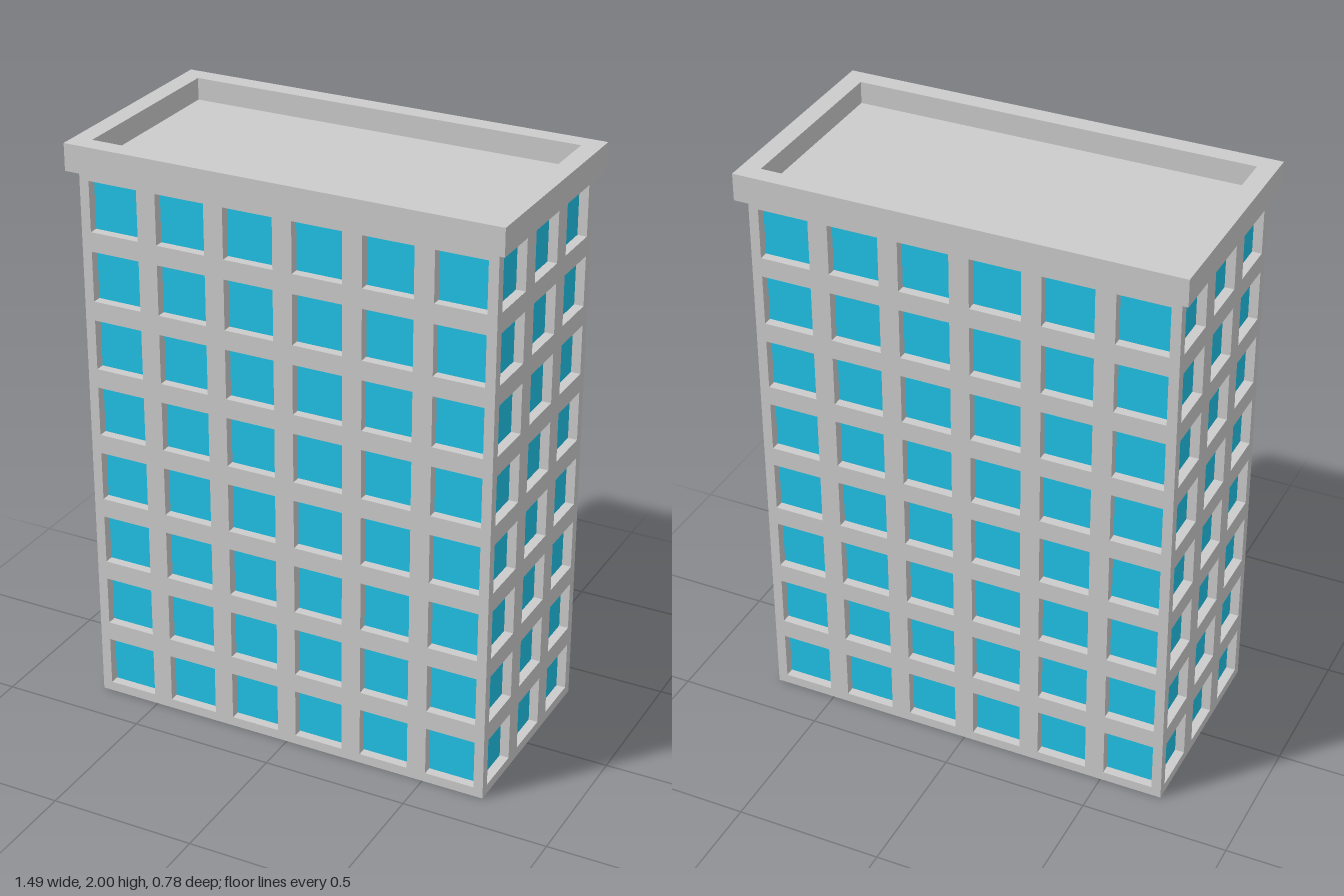
import * as THREE from 'three';

const CELL = 0.2385, WIN = 0.172, DEPTH = 0.032;
const FLOORS = 8, COLS = 6, SIDE_COLS = 3;
const W = CELL * COLS, D = CELL * SIDE_COLS, H = CELL * FLOORS;

const wall = new THREE.MeshStandardMaterial({ color: 0xcccccc });
const glass = new THREE.MeshStandardMaterial({ color: 0x20c3e8 });

function rect(Type, cx, cy, w, h) {
  const x = w / 2, y = h / 2;
  return new Type([[-x, -y], [x, -y], [x, y], [-x, y]].map(([a, b]) => new THREE.Vector2(cx + a, cy + b)));
}

function extrude(shape, depth, name) {
  const mesh = new THREE.Mesh(new THREE.ExtrudeGeometry(shape, { depth, bevelEnabled: false }), wall);
  mesh.name = name;
  return mesh;
}

// One wall with window openings and recessed panes, outer face at z = 0
function facade(name, cols, width) {
  const group = new THREE.Group();
  group.name = name;
  const shape = rect(THREE.Shape, 0, H / 2, width, H);
  const pane = new THREE.PlaneGeometry(WIN, WIN);
  for (let r = 0; r < FLOORS; r++) {
    for (let c = 0; c < cols; c++) {
      const x = (c - (cols - 1) / 2) * CELL, y = (r + 0.5) * CELL;
      shape.holes.push(rect(THREE.Path, x, y, WIN, WIN));
      const win = new THREE.Mesh(pane, glass);
      win.name = 'windowPane';
      win.position.set(x, y, -DEPTH);
      group.add(win);
    }
  }
  const slab = extrude(shape, DEPTH, 'wall');
  slab.position.z = -DEPTH;
  group.add(slab);
  return group;
}

export function createModel() {
  const model = new THREE.Group();
  model.name = 'apartmentBlock';

  // Four facades; the long ones cover the corners
  const names = ['frontFacade', 'leftFacade', 'backFacade', 'rightFacade'];
  names.forEach((name, i) => {
    const long = i % 2 === 0, a = i * Math.PI / 2;
    const f = facade(name, long ? COLS : SIDE_COLS, long ? W : D - 2 * DEPTH);
    f.rotation.y = a;
    f.position.set(Math.sin(a) * W / 2, 0, Math.cos(a) * D / 2);
    model.add(f);
  });

  // Ground slab closing the underside
  const base = new THREE.Mesh(new THREE.BoxGeometry(W - 2 * DEPTH, 0.02, D - 2 * DEPTH), wall);
  base.name = 'groundSlab';
  base.position.y = 0.01;
  model.add(base);

  // Overhanging parapet frame with a sunken roof deck
  const innerW = 1.364, innerD = 0.652;
  const frame = rect(THREE.Shape, 0, 0, 1.492, 0.78);
  frame.holes.push(rect(THREE.Path, 0, 0, innerW, innerD));
  const parapet = extrude(frame, 2 - H, 'parapet');
  parapet.rotation.x = -Math.PI / 2;
  parapet.position.y = H;
  model.add(parapet);

  const roof = new THREE.Mesh(new THREE.BoxGeometry(innerW, 0.02, innerD), wall);
  roof.name = 'roofDeck';
  roof.position.y = 1.915;
  model.add(roof);

  return model;
}
